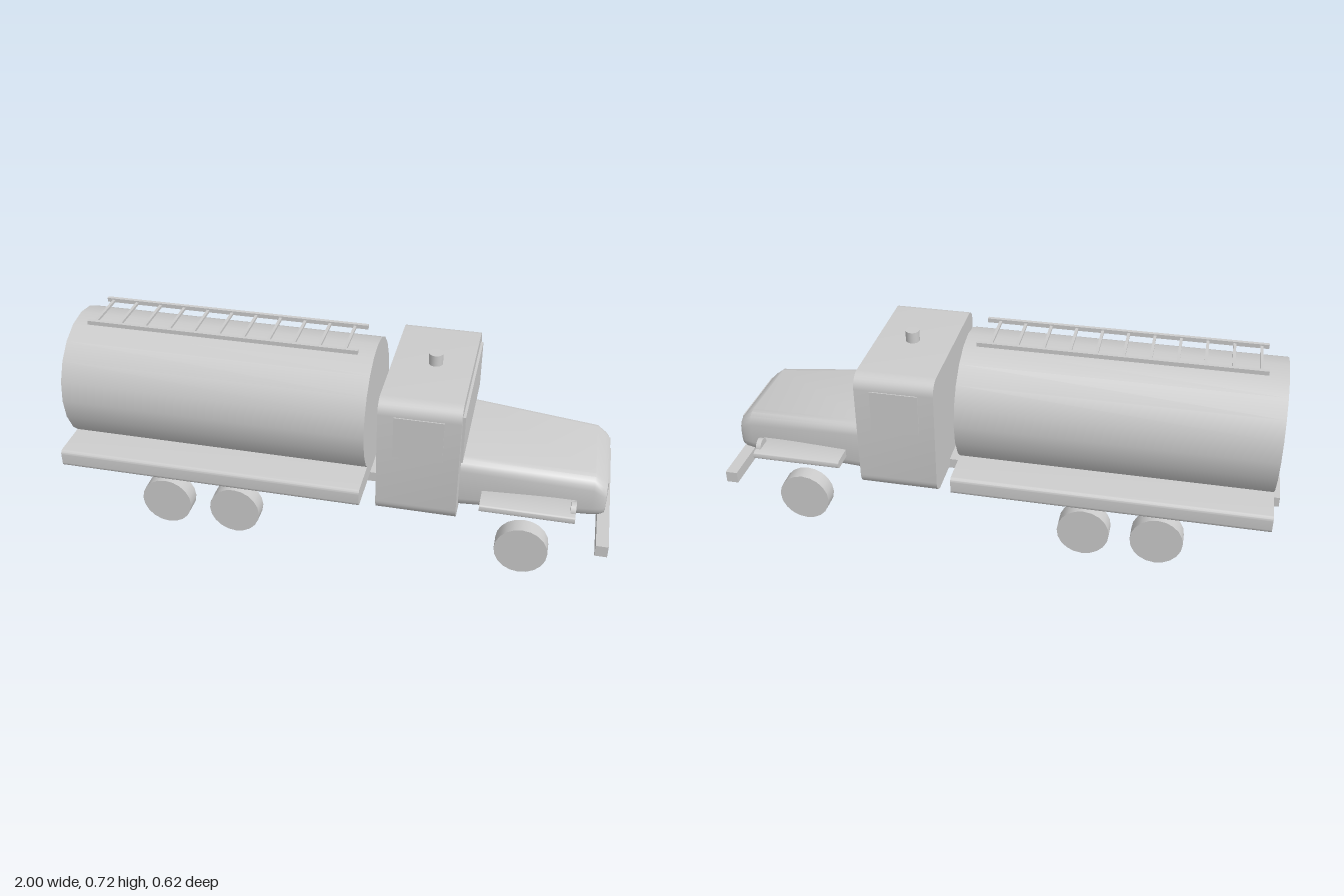
import * as THREE from 'three';
import { RoundedBoxGeometry } from 'three/addons/geometries/RoundedBoxGeometry.js';
import { toCreasedNormals } from 'three/addons/utils/BufferGeometryUtils.js';

const grey = new THREE.MeshStandardMaterial({ color: 0xcccccc });

export function createModel() {
  const truck = new THREE.Group();
  truck.name = 'tankerTruck';

  const add = (name, geometry, x = 0, y = 0, z = 0, parent = truck) => {
    const mesh = new THREE.Mesh(geometry, grey);
    mesh.name = name;
    mesh.position.set(x, y, z);
    parent.add(mesh);
    return mesh;
  };
  // Box given by its extents
  const box = (name, x0, x1, y0, y1, z0, z1, parent) =>
    add(name, new THREE.BoxGeometry(x1 - x0, y1 - y0, z1 - z0),
      (x0 + x1) / 2, (y0 + y1) / 2, (z0 + z1) / 2, parent);
  // Bar along x with a rounded y-z section
  const roundedBar = (name, x0, x1, y0, y1, z0, z1, r) => {
    const w = (z1 - z0) / 2, h = (y1 - y0) / 2;
    const shape = new THREE.Shape();
    shape.absarc(w - r, h - r, r, 0, Math.PI / 2);
    shape.absarc(r - w, h - r, r, Math.PI / 2, Math.PI);
    shape.absarc(r - w, r - h, r, Math.PI, Math.PI * 1.5);
    shape.absarc(w - r, r - h, r, Math.PI * 1.5, Math.PI * 2);
    const g = new THREE.ExtrudeGeometry(shape, { depth: x1 - x0, bevelEnabled: false, curveSegments: 4 });
    g.rotateY(Math.PI / 2);
    return add(name, toCreasedNormals(g, 0.6), x0, (y0 + y1) / 2, (z0 + z1) / 2);
  };

  // Chassis, tank bed and bumper
  box('chassis', -1, 0.72, 0.182, 0.22, -0.105, 0.105);
  roundedBar('tankBed', -0.97, 0.14, 0.218, 0.285, -0.312, 0.312, 0.015);
  box('bumper', 0.957, 1, 0.14, 0.183, -0.3, 0.3);

  // Tank
  const tank = new THREE.CylinderGeometry(0.24, 0.24, 1.11, 20);
  tank.rotateZ(Math.PI / 2);
  add('tank', tank, -0.415, 0.456, 0);

  // Roof ladder
  const ladder = new THREE.Group();
  ladder.name = 'ladder';
  truck.add(ladder);
  for (const s of [-1, 1]) {
    box('ladderRail', -0.9, 0.087, 0.703, 0.718, s * 0.092 - 0.007, s * 0.092 + 0.007, ladder);
  }
  for (let i = 0; i < 11; i++) {
    const x = -0.875 + i * 0.0915;
    box('ladderRung', x - 0.005, x + 0.005, 0.704, 0.713, -0.086, 0.086, ladder);
  }

  // Cab with windows and roof vent
  roundedBar('cab', 0.195, 0.476, 0.193, 0.647, -0.292, 0.292, 0.05);
  box('windshield', 0.47, 0.485, 0.425, 0.606, -0.26, 0.26);
  for (const s of [-1, 1]) {
    box('sideWindow', 0.25, 0.42, 0.44, 0.595, s * 0.291 - 0.005, s * 0.291 + 0.005);
  }
  add('roofVent', new THREE.CylinderGeometry(0.025, 0.025, 0.06, 16), 0.345, 0.658, 0);

  // Hood and grille
  add('hood', hoodGeometry());
  box('grille', 0.96, 0.979, 0.217, 0.334, -0.143, 0.143);

  // Fenders, headlights and wheels
  for (const s of [-1, 1]) {
    const z0 = s > 0 ? 0.19 : -0.303;
    roundedBar('fender', 0.555, 0.877, 0.258, 0.287, z0, z0 + 0.113, 0.0144);
    const lamp = new THREE.CylinderGeometry(0.03, 0.03, 0.018, 20);
    lamp.rotateZ(Math.PI / 2);
    add('headlight', lamp, 0.868, 0.282, s * 0.248);
    for (const x of [-0.59, -0.33, 0.71]) {
      const wheel = new THREE.CylinderGeometry(0.093, 0.093, 0.06, 20);
      wheel.rotateX(Math.PI / 2);
      add('wheel', wheel, x, 0.094, s * 0.248);
    }
  }
  return truck;
}

// Loft of rounded sections tapering toward the nose
function hoodGeometry() {
  // x, half width, bottom, top, corner radius
  const sections = [
    [0.47, 0.222, 0.203, 0.4, 0.04],
    [0.93, 0.19, 0.206, 0.372, 0.045],
    [0.962, 0.185, 0.211, 0.348, 0.042],
    [0.975, 0.178, 0.217, 0.334, 0.038],
  ];
  const steps = 4, ring = 4 * (steps + 1);
  const positions = [], index = [];
  for (const [x, w, y0, y1, r] of sections) {
    for (let c = 0; c < 4; c++) {
      const cz = (c === 0 || c === 3 ? 1 : -1) * (w - r);
      const cy = c < 2 ? y1 - r : y0 + r;
      for (let k = 0; k <= steps; k++) {
        const a = (c + k / steps) * Math.PI / 2;
        positions.push(x, cy + r * Math.sin(a), cz + r * Math.cos(a));
      }
    }
  }
  for (let i = 0; i < sections.length - 1; i++) {
    for (let j = 0; j < ring; j++) {
      const a = i * ring + j, b = i * ring + (j + 1) % ring;
      index.push(a, a + ring, b, b, a + ring, b + ring);
    }
  }
  // End caps
  const last = (sections.length - 1) * ring;
  for (let j = 1; j < ring - 1; j++) {
    index.push(0, j, j + 1);
    index.push(last, last + j + 1, last + j);
  }
  const g = new THREE.BufferGeometry();
  g.setAttribute('position', new THREE.Float32BufferAttribute(positions, 3));
  g.setIndex(index);
  return toCreasedNormals(g, 0.6);
}
